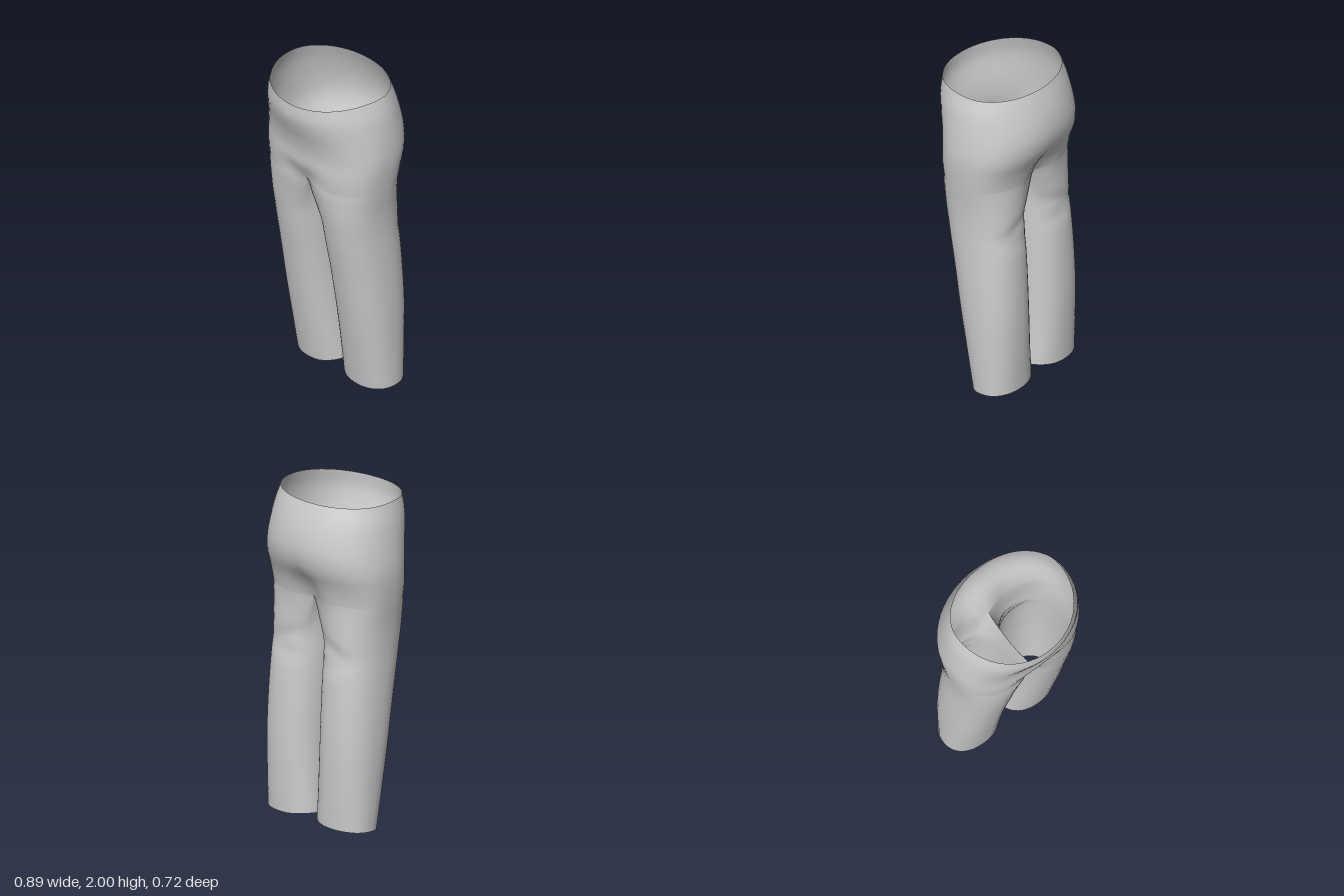
import * as THREE from 'three';
import { mergeVertices } from 'three/addons/utils/BufferGeometryUtils.js';

const CROTCH = 1.4, OUTER = 30, INNER = 14, TORSO_RINGS = 16, LEG_RINGS = 36;

// Profile of the trousers: [height, front z, back z, outer x, inner leg x]
const PROFILE = [
  [0.0, 0.01, -0.28, 0.388, 0.012],
  [0.2, 0.045, -0.285, 0.395, 0.022],
  [0.5, 0.098, -0.288, 0.403, 0.03],
  [0.8, 0.15, -0.276, 0.402, 0.026],
  [1.0, 0.188, -0.26, 0.4, 0.02],
  [1.1, 0.205, -0.25, 0.4, 0.017],
  [1.25, 0.235, -0.252, 0.408, 0.013],
  [1.4, 0.264, -0.266, 0.426, 0.008],
  [1.5, 0.273, -0.292, 0.437, 0.005],
  [1.6, 0.274, -0.338, 0.443, 0.005],
  [1.7, 0.297, -0.36, 0.436, 0.005],
  [1.8, 0.332, -0.352, 0.424, 0.005],
  [1.9, 0.358, -0.325, 0.406, 0.005],
  [2.0, 0.358, -0.285, 0.373, 0.005],
];
const profile = new THREE.CubicInterpolant(
  PROFILE.map((r) => r[0]), PROFILE.flatMap((r) => r.slice(1)), 4, new Float32Array(4));

const { lerp, smoothstep } = THREE.MathUtils;
const bump = (v, centre, width) => Math.exp(-(((v - centre) / width) ** 2));
const power = (v, n) => Math.sign(v) * Math.abs(v) ** (2 / n);

// Point of the left half at height y. t runs 0..1 along the outside from front
// to back, and 1..2 along the inside of the leg from back to front.
function surfacePoint(y, t) {
  const [front, back, outer, inner] = profile.evaluate(y);
  const mid = -0.01;
  const leg = Math.sin(Math.min(1, Math.max(0, (CROTCH - y) / 0.32)) * Math.PI / 2);

  // half section of the hips, closed by a straight line at x = 0
  let tx = 0, tz;
  if (t <= 1) {
    const n = lerp(2.5, 2.05, smoothstep(y, 1.4, 1.9));
    const a = Math.PI * (0.5 - t), s = power(Math.sin(a), n);
    tx = t === 0 || t === 1 ? 0 : outer * power(Math.max(0, Math.cos(a)), n);
    tz = mid + s * (s > 0 ? front - mid : mid - back);
  } else tz = lerp(back, front, t - 1);

  // closed section of the leg
  const reach = 2.25;
  const a = t <= 1 ? lerp(reach, -reach, t) : lerp(-reach, reach - 2 * Math.PI, t - 1);
  const lx = (outer + inner) / 2 + (outer - inner) / 2 * power(Math.cos(a), 2.25);
  const lz = (front + back) / 2 + (front - back) / 2 * power(Math.sin(a), 2.25);

  let x = lerp(tx, lx, leg), z = lerp(tz, lz, leg), py = y;
  const facing = (z - (front + back) / 2) / ((front - back) / 2);

  // fork of the seat: tucked in at the middle, front and back
  const tuck = (1 - leg) * bump(x, 0, 0.09);
  if (facing > 0) z -= facing * 0.06 * tuck * (1 - smoothstep(y, 1.36, 1.54));
  else z -= facing * 0.06 * tuck * (1 - smoothstep(y, 1.36, 1.64));
  if (t > 1) py -= 0.06 * (1 - leg) * Math.sin(Math.PI * (t - 1));

  // soft folds in the groin and behind the knees
  if (facing > 0) z -= 0.012 * facing * bump(y + 0.3 * x, 1.48, 0.05) * bump(x, 0.12, 0.1);
  else z -= 0.012 * facing * bump(x, 0.2, 0.12) * (bump(y + 0.3 * x, 1.17, 0.04) + bump(y - 0.2 * x, 0.98, 0.04));

  // waist dips at the front, hem rises at the back and inside
  py -= 0.033 * Math.max(0, facing) ** 1.5 * smoothstep(y, 1.7, 2);
  py += (0.012 * (1 - facing) + 0.02 * bump(x, 0, 0.1)) * (1 - smoothstep(y, 0, 0.25));
  return [x, py, z];
}

// Grid of quads over heights and section parameters, mirrored to both sides
function addPatch(positions, indices, heights, params, side) {
  const start = positions.length / 3, w = params.length;
  for (const y of heights) for (const t of params) {
    const [x, py, z] = surfacePoint(y, t);
    positions.push(side * x, py, z);
  }
  for (let i = 0; i < heights.length - 1; i++) for (let j = 0; j < w - 1; j++) {
    const a = start + i * w + j, b = a + 1, c = a + w, d = c + 1;
    if (side > 0) indices.push(a, c, b, b, c, d);
    else indices.push(a, b, c, b, d, c);
  }
}

const steps = (from, to, n) => Array.from({ length: n + 1 }, (_, i) => lerp(from, to, i / n));

export function createModel() {
  const positions = [], indices = [];
  const torso = steps(2, CROTCH, TORSO_RINGS);
  // leg rings are closer together near the fork
  const legs = steps(0, 1, LEG_RINGS).map((s) => CROTCH * (1 - s ** 1.4));
  const outside = steps(0, 1, OUTER), inside = steps(1, 2, INNER);
  for (const side of [1, -1]) {
    addPatch(positions, indices, torso, outside, side);
    addPatch(positions, indices, legs, [...outside, ...inside.slice(1)], side);
  }

  let geometry = new THREE.BufferGeometry();
  geometry.setAttribute('position', new THREE.Float32BufferAttribute(positions, 3));
  geometry.setIndex(indices);
  geometry = mergeVertices(geometry, 1e-4);
  geometry.computeVertexNormals();

  const trousers = new THREE.Mesh(geometry,
    new THREE.MeshStandardMaterial({ color: 0xcccccc, side: THREE.DoubleSide }));
  trousers.name = 'trousers';
  const group = new THREE.Group();
  group.name = 'trousersModel';
  group.add(trousers);
  return group;
}
